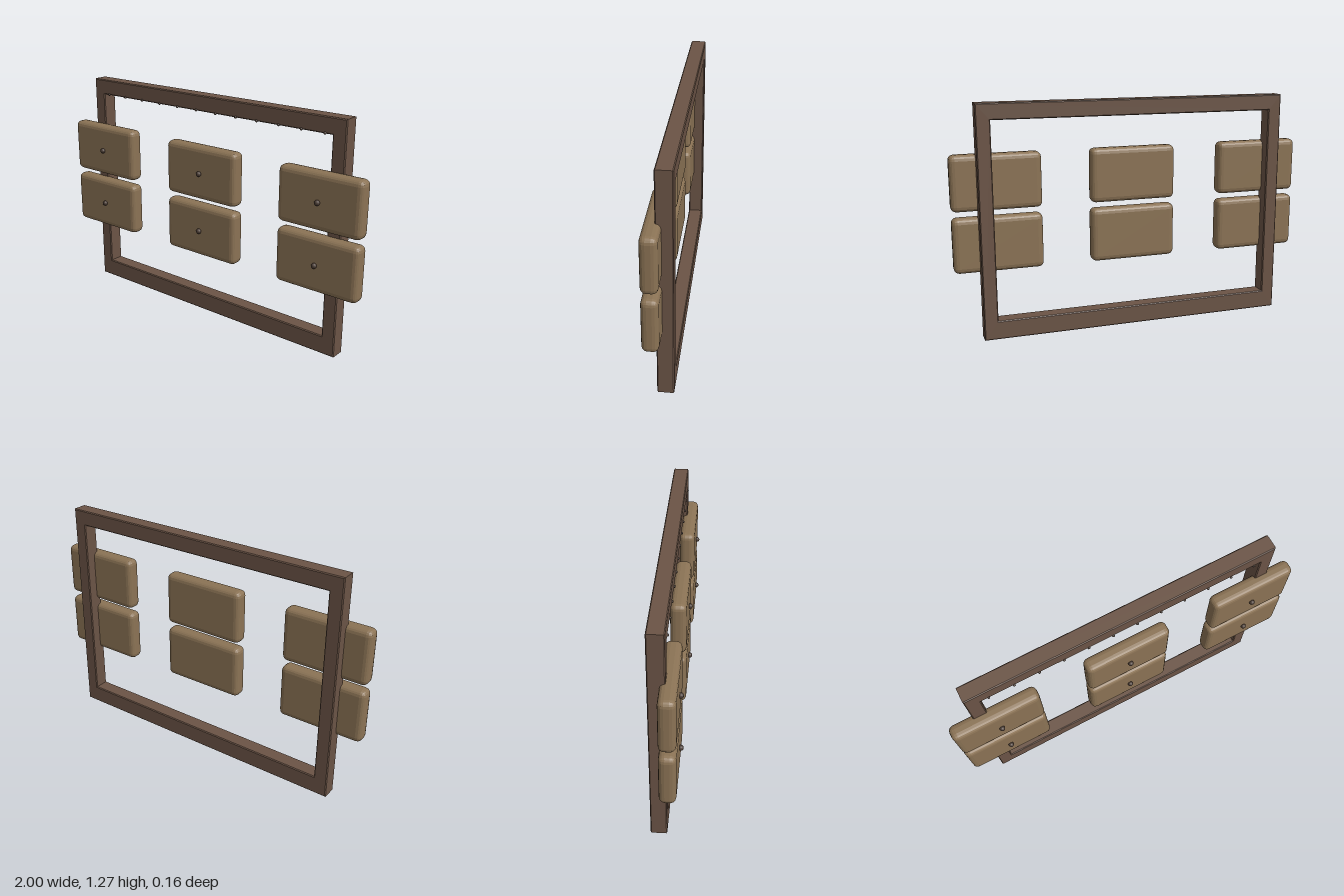
import * as THREE from 'three';
import { RoundedBoxGeometry } from 'three/addons/geometries/RoundedBoxGeometry.js';

const paint = (color) => new THREE.MeshStandardMaterial({ color, flatShading: true });

// Closed rectangle, as a shape or as a hole
function rect(path, x0, y0, x1, y1) {
  path.moveTo(x0, y0);
  path.lineTo(x1, y0);
  path.lineTo(x1, y1);
  path.lineTo(x0, y1);
  path.closePath();
  return path;
}

export function createModel() {
  const model = new THREE.Group();
  const frameWood = paint(0x6b5446);
  const panelWood = paint(0x8b7355);
  const darkMetal = new THREE.MeshStandardMaterial({ color: 0x4a3c34 });

  const add = (name, geometry, material, x, y, z) => {
    const mesh = new THREE.Mesh(geometry, material);
    mesh.name = name;
    mesh.position.set(x, y, z);
    model.add(mesh);
  };

  // Open rectangular frame with slightly eased edges
  const b = 0.005;
  const outline = rect(new THREE.Shape(), -0.863 + b, b, 0.863 - b, 1.27 - b);
  outline.holes.push(rect(new THREE.Path(), -0.787 - b, 0.103 - b, 0.787 + b, 1.183 + b));
  const frame = new THREE.ExtrudeGeometry(outline, {
    depth: 0.087 - 2 * b, bevelSize: b, bevelThickness: b, bevelSegments: 1,
  });
  add('frame', frame, frameWood, 0, 0, -0.082 + b);

  // Two rows of three rounded panels, each with a centre knob
  const panel = new RoundedBoxGeometry(0.485, 0.302, 0.086, 2, 0.03);
  const knob = new THREE.SphereGeometry(0.015, 12, 8);
  for (const y of [0.85, 0.515]) {
    for (const x of [-0.757, 0, 0.757]) {
      add('panel', panel, panelWood, x, y, 0.018);
      add('knob', knob, darkMetal, x, y, 0.067);
    }
  }

  // Row of small pins under the top rail
  const pin = new THREE.SphereGeometry(0.0075, 8, 6);
  for (let i = 0; i < 12; i++) add('pin', pin, darkMetal, -0.745 + i * 0.1355, 1.186, 0.006);

  return model;
}
